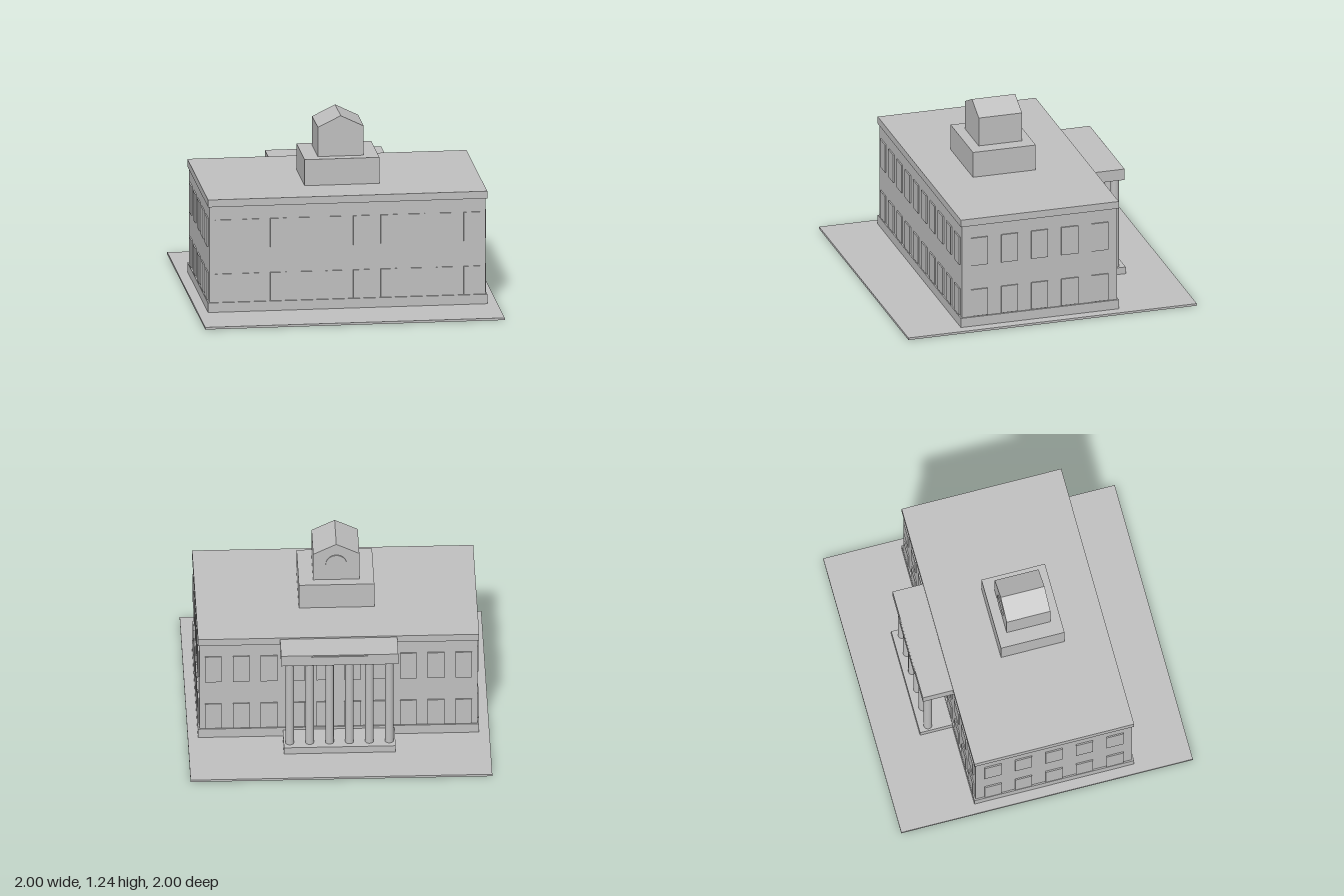
import * as THREE from 'three';

export function createModel() {
  const model = new THREE.Group();
  model.name = 'courthouse';
  const stone = new THREE.MeshStandardMaterial({ color: 0xc0c0c0 });
  stone.name = 'grey stone';

  const add = (name, geometry, parent = model) => {
    const mesh = new THREE.Mesh(geometry, stone);
    mesh.name = name;
    parent.add(mesh);
    return mesh;
  };
  // Box given by its limits on each axis
  const box = (name, x0, x1, y0, y1, z0, z1, parent) => {
    const mesh = add(name, new THREE.BoxGeometry(x1 - x0, y1 - y0, z1 - z0), parent);
    mesh.position.set((x0 + x1) / 2, (y0 + y1) / 2, (z0 + z1) / 2);
    return mesh;
  };

  // Ground slab and main block
  box('groundSlab', -1, 1, 0, 0.015, -1, 1);
  box('plinth', -0.932, 0.932, 0.015, 0.08, -0.48, 0.615);
  box('mainBlock', -0.922, 0.922, 0.08, 0.735, -0.47, 0.605);
  box('cornice', -0.932, 0.932, 0.735, 0.785, -0.48, 0.615);

  // Two rows of thin window plates on all four walls
  const windows = new THREE.Group();
  windows.name = 'windows';
  model.add(windows);
  const thick = 0.009, midZ = 0.0675;
  for (const [y0, y1] of [[0.085, 0.275], [0.447, 0.645]]) {
    for (let i = 0; i < 10; i++) {
      const x = (i - 4.5) * 0.1845;
      box('frontWindow', x - 0.055, x + 0.055, y0, y1, 0.605, 0.605 + thick, windows);
      box('backWindow', x - 0.055, x + 0.055, y0, y1, -0.47 - thick, -0.47, windows);
    }
    for (let i = 0; i < 5; i++) {
      const z = midZ + (i - 2) * 0.209;
      box('leftWindow', 0.922, 0.922 + thick, y0, y1, z - 0.058, z + 0.058, windows);
      box('rightWindow', -0.922 - thick, -0.922, y0, y1, z - 0.058, z + 0.058, windows);
    }
  }

  // Portico on the back
  const portico = new THREE.Group();
  portico.name = 'portico';
  model.add(portico);
  box('porticoStep', -0.37, 0.37, 0.015, 0.063, -0.702, -0.47, portico);
  box('porticoRoof', -0.388, 0.388, 0.697, 0.775, -0.688, -0.46, portico);
  box('roofPanel', -0.187, 0.187, 0.705, 0.767, -0.694, -0.688, portico);
  const shaft = new THREE.CylinderGeometry(0.028, 0.028, 0.634, 32);
  for (let i = 0; i < 6; i++) {
    add('column', shaft, portico).position.set((i - 2.5) * 0.132, 0.38, -0.638);
  }

  // Roof tower: square base, gabled top and round clock face
  const tower = new THREE.Group();
  tower.name = 'tower';
  model.add(tower);
  box('towerBase', -0.25, 0.25, 0.785, 0.963, -0.115, 0.32, tower);
  const gable = new THREE.Shape([
    [-0.153, 0.963], [0.153, 0.963], [0.153, 1.163], [0, 1.238], [-0.153, 1.163],
  ].map(([x, y]) => new THREE.Vector2(x, y)));
  add('gabledTop', new THREE.ExtrudeGeometry(gable, { depth: 0.3, bevelEnabled: false }), tower)
    .position.z = -0.05;
  const clock = add('clockFace', new THREE.CylinderGeometry(0.07, 0.07, 0.009, 32), tower);
  clock.rotation.x = Math.PI / 2;
  clock.position.set(0, 1.085, -0.0535);

  return model;
}
